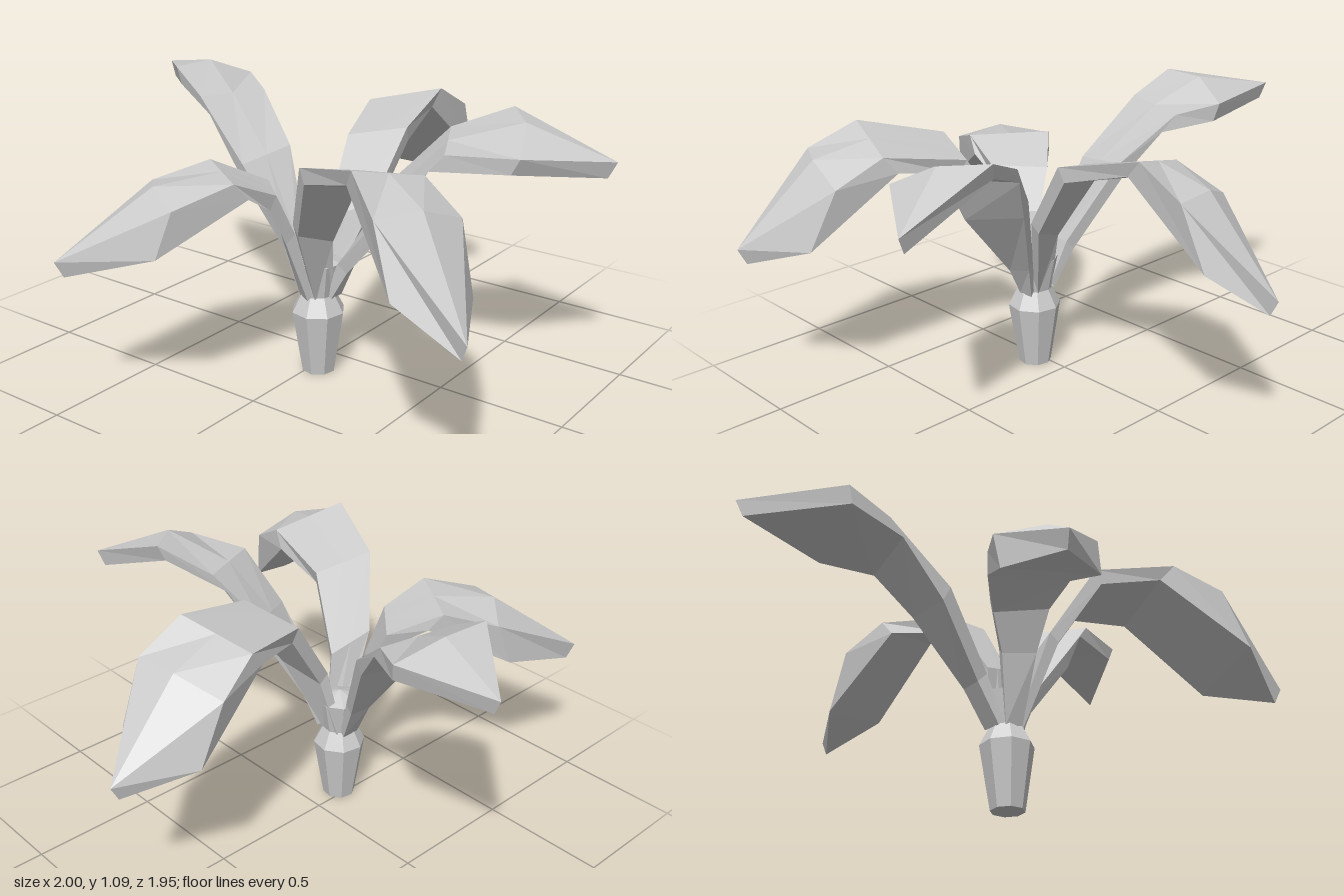
import * as THREE from 'three';

const material = new THREE.MeshStandardMaterial({ color: 0xcccccc, flatShading: true, side: THREE.DoubleSide });
const AXIS = new THREE.Vector3(0.03, 0, 0.14); // stem axis

// Thickness of the blade at each station: [outward push, drop]
const THICKNESS = [[0.02, 0.02], [0.035, 0.035], [0.025, 0.055], [-0.055, 0.065]];
const RIDGE = [0, 0, 0, 0, 0.035];

// A leaf is lofted through stations, each given by its left and right upper edge
// [lx, ly, lz, rx, ry, rz], and closes at a blunt tip.
function makeLeaf(name, stations, tip, endThickness) {
  const tipPoint = new THREE.Vector3(...tip);
  const out = tipPoint.clone().sub(AXIS).setY(0).normalize();
  const thickness = [...THICKNESS, endThickness];
  const rings = stations.map((s, i) => {
    const left = new THREE.Vector3(s[0], s[1], s[2]);
    const right = new THREE.Vector3(s[3], s[4], s[5]);
    const mid = left.clone().lerp(right, 0.5);
    mid.y += RIDGE[i];
    mid.addScaledVector(out, RIDGE[i] * 0.8);
    const [push, drop] = thickness[i];
    const under = (p) => {
      const q = p.clone().lerp(mid, 0.06).addScaledVector(out, push);
      q.y = p.y - drop;
      return q;
    };
    return [left, mid, right, under(right), under(left)];
  });
  const tipUnder = tipPoint.clone().addScaledVector(out, -0.03);
  tipUnder.y -= 0.06;
  rings.push([tipPoint, tipPoint, tipPoint, tipUnder, tipUnder]);

  // Skin neighbouring rings with quads
  const positions = [];
  const addTriangle = (a, b, c) => {
    if (a === b || b === c || a === c) return;
    for (const p of [a, b, c]) positions.push(p.x, p.y, p.z);
  };
  for (let i = 0; i < rings.length - 1; i++) {
    for (let j = 0; j < 5; j++) {
      const k = (j + 1) % 5;
      const a = rings[i][j], b = rings[i][k], c = rings[i + 1][j], d = rings[i + 1][k];
      addTriangle(a, b, d);
      addTriangle(a, d, c);
    }
  }
  const geometry = new THREE.BufferGeometry();
  geometry.setAttribute('position', new THREE.Float32BufferAttribute(positions, 3));
  geometry.computeVertexNormals();
  const mesh = new THREE.Mesh(geometry, material);
  mesh.name = name;
  return mesh;
}

export function createModel() {
  const plant = new THREE.Group();
  plant.name = 'plant';

  // Stem: tapered base, pinched neck and a small crown
  const profile = [[0, 0], [0.065, 0], [0.104, 0.25], [0.068, 0.32], [0.095, 0.45], [0, 0.485]]
    .map(([r, y]) => new THREE.Vector2(r, y));
  const stem = new THREE.Mesh(new THREE.LatheGeometry(profile, 8, 0.2), material);
  stem.name = 'stem';
  stem.position.copy(AXIS);
  plant.add(stem);

  // Front left leaf and its turned copy at the back
  const frontLeftLeaf = makeLeaf('frontLeftLeaf', [
    [0.08, 0.33, 0.12, 0.04, 0.33, 0.19],
    [0.11, 0.6, 0.17, 0.07, 0.66, 0.34],
    [0.275, 0.875, 0.24, 0.2, 0.925, 0.465],
    [0.6, 0.935, 0.315, 0.51, 1.005, 0.6],
    [0.775, 0.84, 0.365, 0.665, 0.905, 0.705],
  ], [1.0, 0.585, 0.7], [0.1, 0.23]);
  plant.add(frontLeftLeaf);

  const backLeaf = new THREE.Mesh(frontLeftLeaf.geometry.clone(), material);
  backLeaf.geometry.translate(-AXIS.x, 0, -AXIS.z).rotateY(2.149).translate(AXIS.x, 0, AXIS.z);
  backLeaf.name = 'backLeaf';
  plant.add(backLeaf);

  // Drooping front right leaf
  plant.add(makeLeaf('frontRightLeaf', [
    [0.05, 0.33, 0.2, -0.01, 0.33, 0.17],
    [0.04, 0.6, 0.29, -0.06, 0.6, 0.2],
    [0.03, 0.77, 0.38, -0.13, 0.76, 0.23],
    [-0.01, 0.85, 0.56, -0.28, 0.85, 0.38],
    [-0.115, 0.785, 0.76, -0.41, 0.79, 0.55],
  ], [-0.48, 0.585, 0.97], [0.06, 0.17]));

  // Raised side leaves
  plant.add(makeLeaf('rightLeaf', [
    [-0.02, 0.33, 0.18, -0.02, 0.33, 0.1],
    [-0.09, 0.5, 0.165, -0.08, 0.5, 0.07],
    [-0.29, 0.78, 0.19, -0.25, 0.81, -0.05],
    [-0.54, 1.0, 0.14, -0.46, 0.985, -0.15],
    [-0.7, 1.09, 0.1, -0.61, 1.02, -0.245],
  ], [-1.0, 1.03, -0.18], [-0.02, 0.07]));

  plant.add(makeLeaf('leftLeaf', [
    [0.08, 0.33, 0.09, 0.08, 0.33, 0.16],
    [0.11, 0.48, 0.06, 0.13, 0.46, 0.155],
    [0.25, 0.78, -0.07, 0.37, 0.75, 0.14],
    [0.4, 0.96, -0.18, 0.54, 0.94, 0.095],
    [0.6, 1.045, -0.285, 0.79, 0.95, 0.02],
  ], [1.0, 0.9, -0.305], [-0.03, 0.06]));

  return plant;
}
